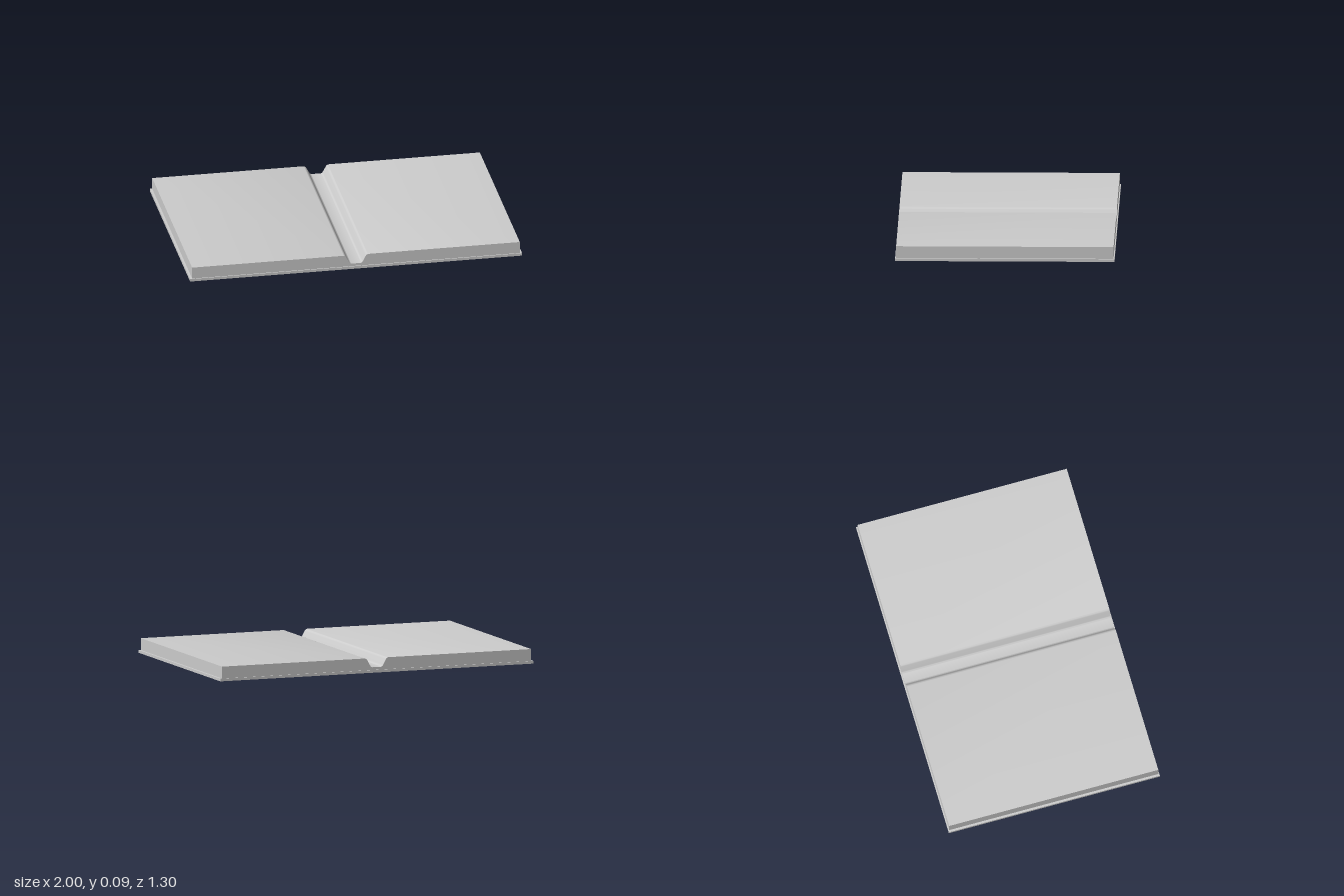
import * as THREE from 'three';
import { toCreasedNormals } from 'three/addons/utils/BufferGeometryUtils.js';

const material = new THREE.MeshStandardMaterial({ color: 0xcccccc });

function addMesh(group, name, geometry, x = 0, y = 0, z = 0) {
  const mesh = new THREE.Mesh(geometry, material);
  mesh.name = name;
  mesh.position.set(x, y, z);
  group.add(mesh);
}

export function createModel() {
  const book = new THREE.Group();
  book.name = 'openBook';

  const coverHeight = 0.016, coverDepth = 1.3, spineHalf = 0.055;
  const pageTop = 0.087, pageHalf = 0.987, pageDepth = 1.288, gutterY = 0.032;

  // Cover: two boards joined by the spine strip
  const boardWidth = 1 - spineHalf;
  for (const [side, name] of [[1, 'leftCoverBoard'], [-1, 'rightCoverBoard']]) {
    addMesh(book, name, new THREE.BoxGeometry(boardWidth, coverHeight, coverDepth),
      side * (spineHalf + boardWidth / 2), coverHeight / 2);
  }
  addMesh(book, 'spine', new THREE.BoxGeometry(spineHalf * 2, coverHeight, coverDepth), 0, coverHeight / 2);

  // Page block: one cross-section with a rounded gutter, run along the spine
  const section = new THREE.Shape();
  section.moveTo(-pageHalf, coverHeight);
  section.lineTo(pageHalf, coverHeight);
  section.lineTo(pageHalf, pageTop);
  section.lineTo(0.078, pageTop);
  section.quadraticCurveTo(0.064, pageTop, 0.056, 0.07);
  section.lineTo(0.042, 0.044);
  section.quadraticCurveTo(0.036, gutterY, 0.026, gutterY);
  section.lineTo(-0.026, gutterY);
  section.quadraticCurveTo(-0.036, gutterY, -0.042, 0.044);
  section.lineTo(-0.056, 0.07);
  section.quadraticCurveTo(-0.064, pageTop, -0.078, pageTop);
  section.lineTo(-pageHalf, pageTop);
  section.closePath();
  const pages = new THREE.ExtrudeGeometry(section, { depth: pageDepth, bevelEnabled: false, curveSegments: 6 });
  pages.translate(0, 0, -pageDepth / 2);
  addMesh(book, 'pages', toCreasedNormals(pages, Math.PI / 5));

  return book;
}
